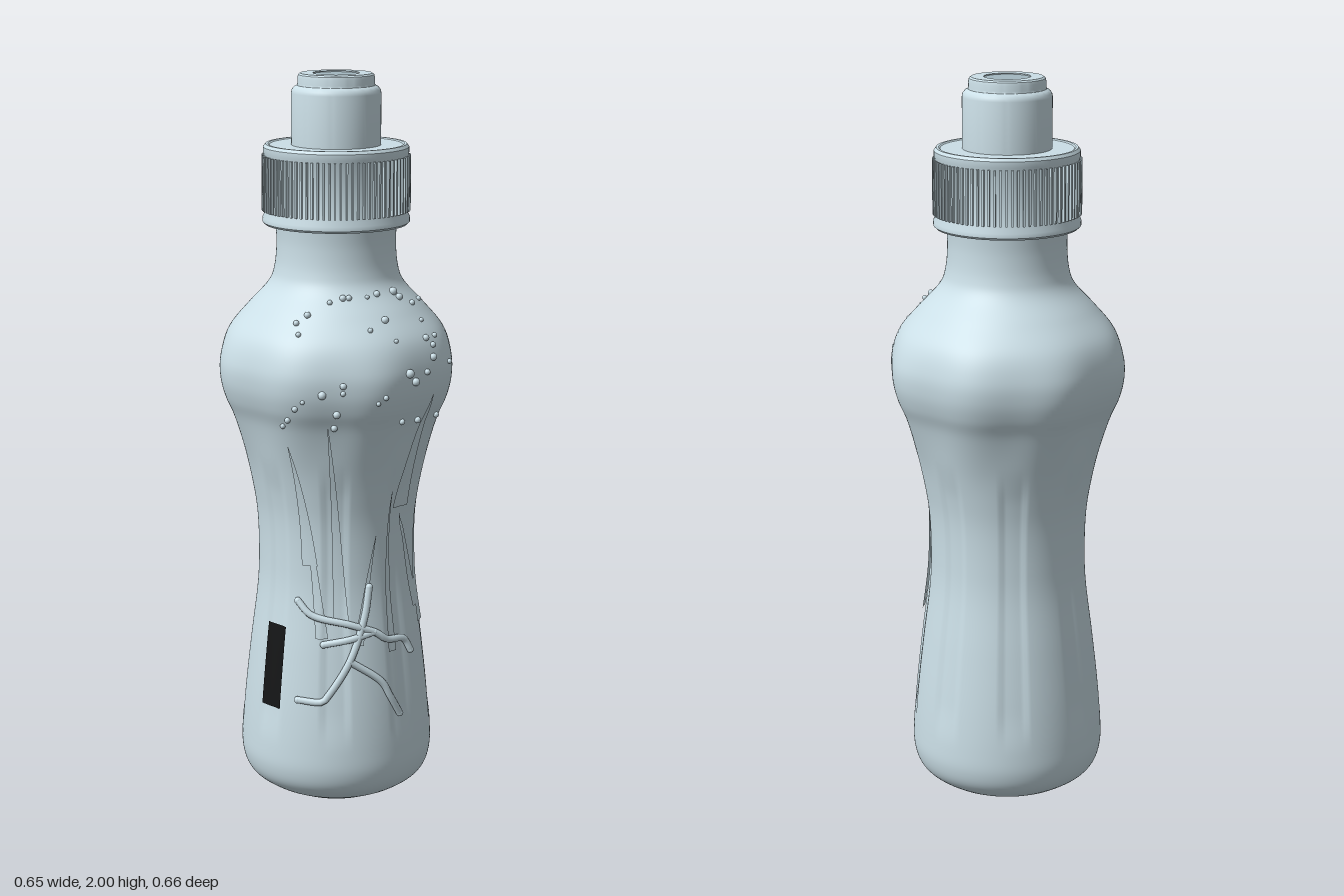
import * as THREE from 'three';
import { mergeVertices, toCreasedNormals } from 'three/addons/utils/BufferGeometryUtils.js';

const shell = new THREE.MeshStandardMaterial({ name: 'paleBlueGrey', color: 0xcbdfe7, side: THREE.DoubleSide });
const shade = new THREE.MeshStandardMaterial({ name: 'slateGrey', color: 0xa3b8c0 });
const amber = new THREE.MeshStandardMaterial({ name: 'amber', color: 0xe28c2a, side: THREE.DoubleSide });
const dark = new THREE.MeshStandardMaterial({ name: 'nearBlack', color: 0x141516, side: THREE.DoubleSide });

// Bottle silhouette, [radius, height]
const profile = new THREE.SplineCurve([
  [0.152, 0.004], [0.2, 0.025], [0.245, 0.06], [0.264, 0.11], [0.265, 0.18], [0.256, 0.3], [0.239, 0.45],
  [0.22, 0.6], [0.216, 0.7], [0.219, 0.8], [0.23, 0.88], [0.25, 0.97], [0.286, 1.08], [0.312, 1.14], [0.325, 1.195],
  [0.322, 1.25], [0.296, 1.315], [0.24, 1.38], [0.185, 1.44], [0.167, 1.485], [0.161, 1.55], [0.164, 1.61],
].map(([r, y]) => new THREE.Vector2(r, y))).getPoints(140);

const { smoothstep } = THREE.MathUtils;
const bump = (y, a, b, soft) => smoothstep(y, a, a + soft) * (1 - smoothstep(y, b - soft, b));

// Eight soft shoulder lobes, and eight shallow flat flutes down the grip
function relief(angle, y) {
  const fromFlute = Math.acos(-Math.cos(8 * angle)) / 8;
  const flute = 1 - smoothstep(fromFlute, 0.11, 0.16);
  return -0.006 * (1 - Math.cos(8 * angle)) * bump(y, 0.92, 1.4, 0.22) - 0.005 * flute * bump(y, 0.18, 1.0, 0.12);
}

function radiusAt(angle, y) {
  let i = 1;
  while (i < profile.length - 1 && profile[i].y < y) i++;
  const a = profile[i - 1], b = profile[i];
  return a.x + (b.x - a.x) * (y - a.y) / (b.y - a.y) + relief(angle, y);
}

function onBottle(angle, y, lift) {
  const r = radiusAt(angle, y) + lift;
  return new THREE.Vector3(Math.sin(angle) * r, y, Math.cos(angle) * r);
}

// Angle at which the front of the bottle has a given x
function frontAngle(x, y) {
  let angle = 0;
  for (let k = 0; k < 4; k++) angle = Math.asin(THREE.MathUtils.clamp(x / radiusAt(angle, y), -0.98, 0.98));
  return angle;
}

const onFront = (x, y, lift) => onBottle(frontAngle(x, y), y, lift);

function add(group, name, geometry, material) {
  const mesh = new THREE.Mesh(geometry, material);
  mesh.name = name;
  group.add(mesh);
  return mesh;
}

function addGroup(parent, name) {
  const group = new THREE.Group();
  group.name = name;
  parent.add(group);
  return group;
}

const lathe = (points, segments = 72) => toCreasedNormals(
  new THREE.LatheGeometry(points.map(([r, y]) => new THREE.Vector2(r, y)), segments), 0.6);

function bodyGeometry() {
  let g = new THREE.LatheGeometry(profile, 160);
  const p = g.attributes.position;
  for (let i = 0; i < p.count; i++) {
    const x = p.getX(i), y = p.getY(i), z = p.getZ(i);
    const r = Math.hypot(x, z), k = 1 + relief(Math.atan2(x, z), y) / r;
    p.setXYZ(i, x * k, y, z * k);
  }
  g.deleteAttribute('uv');
  g.deleteAttribute('normal');
  g = mergeVertices(g, 1e-5);
  g.computeVertexNormals();
  return g;
}

// Thin patch hugging the bottle from one [angle, y, half angle] to another
function patchGeometry([a0, y0, w0], [a1, y1, w1], lift) {
  const pos = [], index = [], rows = 16, cols = 4;
  for (let i = 0; i <= rows; i++) {
    const t = i / rows, w = w0 + (w1 - w0) * t;
    for (let j = 0; j <= cols; j++) {
      pos.push(...onBottle(a0 + (a1 - a0) * t + w * (j / cols * 2 - 1), y0 + (y1 - y0) * t, lift).toArray());
      if (i === rows || j === cols) continue;
      const a = i * (cols + 1) + j, b = a + cols + 1;
      index.push(a, a + 1, b + 1, a, b + 1, b);
    }
  }
  const g = new THREE.BufferGeometry();
  g.setAttribute('position', new THREE.Float32BufferAttribute(pos, 3));
  g.setIndex(index);
  g.computeVertexNormals();
  return g;
}

export function createModel() {
  const model = new THREE.Group();
  model.name = 'sportsBottle';

  // Bottle and its hollow base
  add(model, 'bottleBody', bodyGeometry(), shell);
  add(model, 'baseRim', lathe([[0.146, 0.008], [0.148, 0], [0.152, 0.004]]), shell);
  add(model, 'baseHollow', lathe([[0, 0.016], [0.115, 0.016], [0.117, 0.01], [0.147, 0.006]]), amber);

  // Screw cap with grip ribs
  add(model, 'screwCap', lathe([
    [0.155, 1.6], [0.192, 1.6], [0.198, 1.606], [0.198, 1.618], [0.193, 1.628], [0.193, 1.785], [0.195, 1.79],
    [0.195, 1.806], [0.189, 1.814], [0.182, 1.814], [0.178, 1.811], [0.11, 1.811],
  ], 96), shell);
  const ribs = addGroup(model, 'capRibs');
  const ribShape = new THREE.BoxGeometry(0.005, 0.148, 0.012);
  const ribCount = 80;
  for (let i = 0; i < ribCount; i++) {
    const a = i / ribCount * Math.PI * 2;
    const rib = add(ribs, 'capRib', ribShape, shell);
    rib.position.set(Math.sin(a) * 0.194, 1.71, Math.cos(a) * 0.194);
    rib.rotation.y = a;
  }

  // Drinking spout
  add(model, 'spout', lathe([
    [0.12, 1.8], [0.12, 1.948], [0.118, 1.957], [0.112, 1.964], [0.104, 1.968], [0.103, 1.974],
    [0.103, 1.988], [0.101, 1.996], [0.096, 2], [0.062, 2], [0.062, 1.992],
  ]), shell);
  const opening = add(model, 'spoutOpening', new THREE.CircleGeometry(0.063, 48), shade);
  opening.rotation.x = -Math.PI / 2;
  opening.position.y = 1.997;

  // Water drops over the front shoulder: x, y, radius in thousandths
  const drops = addGroup(model, 'waterDrops');
  const dropShape = new THREE.SphereGeometry(1, 14, 10);
  [
    [-0.09, 1.42, 7], [-0.055, 1.43, 9], [0.04, 1.435, 9], [0.095, 1.435, 11], [0.11, 1.42, 10], [0.01, 1.43, 6],
    [-0.15, 1.39, 9], [-0.18, 1.37, 8], [-0.185, 1.345, 7], [0.04, 1.375, 10], [-0.01, 1.355, 7], [0.15, 1.4, 8],
    [0.19, 1.4, 7], [0.155, 1.32, 9], [0.19, 1.32, 7], [0.175, 1.3, 8], [0.17, 1.27, 10], [0.235, 1.245, 7],
    [0.085, 1.24, 12], [0.105, 1.215, 11], [0.145, 1.235, 8], [-0.1, 1.22, 9], [-0.1, 1.2, 7], [-0.15, 1.195, 11],
    [-0.195, 1.175, 6], [0.01, 1.185, 7], [-0.22, 1.12, 8], [-0.21, 1.155, 8], [-0.11, 1.14, 10], [-0.01, 1.17, 6],
    [-0.11, 1.1, 9], [0.075, 1.105, 8], [0.13, 1.1, 9], [0.2, 1.1, 8], [0.055, 1.325, 6], [-0.04, 1.43, 8],
    [-0.225, 1.1, 7], [0.16, 1.36, 6],
  ].forEach(([x, y, r]) => {
    const drop = add(drops, 'waterDrop', dropShape, shell);
    drop.scale.setScalar(r / 1000);
    drop.position.copy(onFront(x, y, 0.003));
  });

  // Raised twig on the front
  const twig = addGroup(model, 'twig');
  [
    [[-0.18, 0.328], [-0.125, 0.328], [-0.11, 0.345], [-0.055, 0.44], [-0.01, 0.56], [0.005, 0.64]],
    [[-0.165, 0.6], [-0.14, 0.565], [-0.05, 0.54], [0.02, 0.512], [0.05, 0.49], [0.11, 0.475], [0.13, 0.44]],
    [[-0.055, 0.44], [0.03, 0.375], [0.055, 0.33], [0.085, 0.275]],
    [[-0.115, 0.485], [-0.05, 0.5], [0.015, 0.515]],
  ].forEach((path) => {
    const curve = new THREE.CatmullRomCurve3(path.map(([x, y]) => onFront(x, y, 0.01)), false, 'centripetal');
    add(twig, 'twigBranch', new THREE.TubeGeometry(curve, 32, 0.01, 8), shell);
    for (const t of [0, 1]) {
      const tip = add(twig, 'twigTip', dropShape, shell);
      tip.scale.setScalar(0.01);
      tip.position.copy(curve.getPoint(t));
    }
  });

  // Slim pointed leaves on the front of the grip: root x, y, tip x, y, half angle
  [
    [-0.14, 0.7, -0.205, 1.04, 0.1], [-0.07, 0.55, -0.125, 1.1, 0.09], [0.1, 0.85, 0.165, 1.17, 0.12],
    [-0.03, 0.48, 0.025, 0.78, 0.06], [0.17, 0.55, 0.1, 0.83, 0.1], [-0.12, 0.5, -0.17, 0.93, 0.07],
    [0.07, 0.45, 0.07, 0.9, 0.06], [0.185, 0.5, 0.17, 0.9, 0.08],
  ].forEach(([x0, y0, x1, y1, w]) => add(model, 'leaf',
    patchGeometry([frontAngle(x0, y0), y0, w], [frontAngle(x1, y1), y1, 0.004], 0.008), shell));

  // Small dark strip beside the twig
  add(model, 'darkStrip', patchGeometry([-1.15, 0.29, 0.14], [-1.15, 0.52, 0.15], 0.006), dark);
  return model;
}
